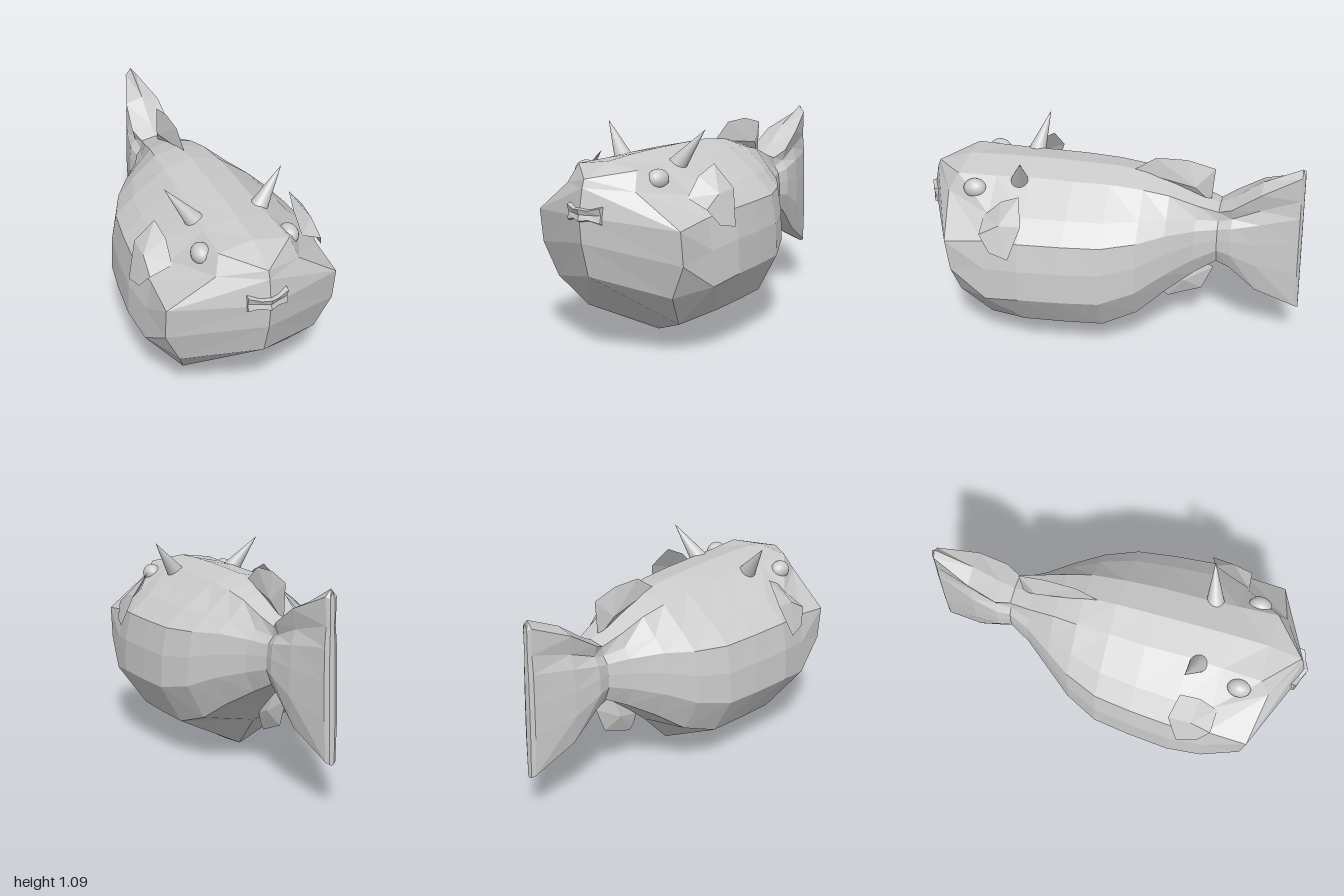
import * as THREE from 'three';

const mat = new THREE.MeshStandardMaterial({ color: 0xcccccc, flatShading: true, side: THREE.DoubleSide });
const smooth = new THREE.MeshStandardMaterial({ color: 0xcccccc });

function part(name, geometry, material = mat) {
  const mesh = new THREE.Mesh(geometry, material);
  mesh.name = name;
  return mesh;
}

// Skin between consecutive closed rings of [x, y, z] points, skipping collapsed
// triangles. Diagonals flip halfway round so mirrored rings give mirrored faces.
function loft(rings) {
  const pos = [], n = rings[0].length;
  const same = (p, q) => p.every((v, i) => Math.abs(v - q[i]) < 1e-6);
  const tri = (a, b, c) => {
    if (!same(a, b) && !same(b, c) && !same(a, c)) pos.push(...a, ...b, ...c);
  };
  for (let i = 0; i < rings.length - 1; i++) {
    for (let j = 0; j < n; j++) {
      const k = (j + 1) % n;
      const a = rings[i][j], b = rings[i][k], c = rings[i + 1][j], d = rings[i + 1][k];
      if (j < n / 2) {
        tri(a, b, d);
        tri(a, d, c);
      } else {
        tri(a, b, c);
        tri(b, d, c);
      }
    }
  }
  const geo = new THREE.BufferGeometry();
  geo.setAttribute('position', new THREE.Float32BufferAttribute(pos, 3));
  geo.computeVertexNormals();
  return geo;
}

// Complete a half ring (top centre, down the +x side, bottom centre) by mirroring.
const mirrorRing = half =>
  [...half, ...half.slice(1, -1).reverse().map(([x, y, z]) => [-x, y, z])];
const collapse = (ring, p) => ring.map(() => p);

// Half cross-section; lean carries the bottom further back than the top.
function section([z, top, keel, w, shoulder, chine, lean = 0]) {
  const p = (x, y) => [x, y, z - lean * (top - y) / (top - keel)];
  const y = t => chine + (top - chine) * t;
  return [
    p(0, top), p(shoulder, y(0.955)), p(w * 0.71, y(0.79)), p(w * 0.925, y(0.67)),
    p(w * 0.985, y(0.48)), p(w, y(0.26)), p(w * 0.76, chine), p(0, keel)];
}

// Station where body and tail meet
const tailRoot = [-0.56, 0.81, 0.5, 0.12, 0.08, 0.51];

// Body: nose ridge, face edge, then stations from cheek to tail root.
function bodyGeometry() {
  const face = [
    [0, 0.95, 0.77], [0.18, 0.925, 0.78], [0.21, 0.835, 0.83], [0.44, 0.67, 0.79],
    [0.44, 0.5, 0.77], [0.36, 0.33, 0.75], [0.29, 0.155, 0.61], [0, 0.025, 0.39]];
  const nose = [
    face[0], [0, 0.89, 0.945], [0, 0.85, 0.96], [0, 0.72, 0.985],
    [0, 0.59, 0.975], [0, 0.42, 0.93], [0, 0.42, 0.93], face[7]];
  // z, top, keel, half width, shoulder half width, chine height
  const halves = [
    [0.58, 0.962, 0.025, 0.475, 0.17, 0.16],
    [0.40, 0.967, 0.025, 0.5, 0.16, 0.2],
    [0.18, 0.967, 0, 0.48, 0.16, 0.2],
    [-0.01, 0.965, 0.03, 0.452, 0.15, 0.2],
    [-0.18, 0.945, 0.21, 0.375, 0.14, 0.26],
    [-0.31, 0.91, 0.325, 0.28, 0.12, 0.36],
    [-0.45, 0.85, 0.435, 0.175, 0.1, 0.45],
    tailRoot].map(section);
  halves[0][6] = face[6];
  halves[0][7] = face[7];
  return loft([nose, face, ...halves].map(mirrorRing));
}

// Tail: continues the body, spreading in height and thinning toward the rear edge.
function tailGeometry() {
  const rings = [
    tailRoot,
    [-0.63, 0.85, 0.475, 0.132, 0.11, 0.485],
    [-0.77, 0.955, 0.34, 0.105, 0.095, 0.35],
    [-0.96, 1.048, 0.228, 0.035, 0.03, 0.235, 0.025],
    [-0.975, 1.04, 0.22, 0.015, 0.012, 0.225, 0.025]
  ].map(s => mirrorRing(section(s)));
  rings.push(collapse(rings[0], [0, 0.63, -0.988]));
  return loft(rings);
}

// Leaf-like fin: an outline swollen on both sides about its centre.
function leafGeometry(outline, centre, bulge) {
  const side = s => outline.map(() => centre.map((v, i) => v + s * bulge[i]));
  return loft([side(1), outline, side(-1)]);
}

// Mouth: shallow lip profile swept across the nose.
function mouthGeometry() {
  const lip = [[0.763, 0.955], [0.756, 0.998], [0.728, 0.988], [0.7, 0.996], [0.682, 0.96]];
  const rings = [[-0.1, 0.008, 0.04], [-0.045, -0.006, 0.02], [0, 0, 0],
    [0.045, -0.006, 0.02], [0.1, 0.008, 0.04]].map(([x, lift, back]) =>
    lip.map(([y, z]) => [x, y + lift * Math.sign(y - 0.728), z - back]));
  return loft([collapse(lip, [-0.1, 0.72, 0.92]), ...rings, collapse(lip, [0.1, 0.72, 0.92])]);
}

export function createModel() {
  const fish = new THREE.Group();
  fish.name = 'fish';
  fish.add(part('body', bodyGeometry()), part('tail', tailGeometry()), part('mouth', mouthGeometry()));

  // Fins on the centre line, outlined as [z, y]
  const onCentre = pts => pts.map(([z, y]) => [0, y, z]);
  fish.add(part('dorsalFin', leafGeometry(
    onCentre([[-0.1, 0.945], [-0.22, 1.03], [-0.38, 1.035], [-0.525, 1], [-0.51, 0.8], [-0.3, 0.88]]),
    [0, 0.9, -0.43], [0.036, 0, 0])));
  fish.add(part('ventralFin', leafGeometry(
    onCentre([[-0.24, 0.27], [-0.27, 0.21], [-0.3, 0.19], [-0.48, 0.265], [-0.54, 0.41], [-0.43, 0.45]]),
    [0, 0.32, -0.39], [0.03, 0, 0])));

  // Paired fins, eyes and horns
  for (const [label, s] of [['left', 1], ['right', -1]]) {
    const outline = [
      [0.355, 0.925, 0.41], [0.45, 0.81, 0.38], [0.503, 0.64, 0.44], [0.485, 0.66, 0.54],
      [0.45, 0.74, 0.6], [0.34, 0.785, 0.605], [0.335, 0.875, 0.51]
    ].map(([x, y, z]) => [s * x, y, z]);
    fish.add(part(label + 'SideFin', leafGeometry(outline, [s * 0.43, 0.79, 0.49], [s * 0.015, 0.01, 0.005])));

    const eye = part(label + 'Eye', new THREE.SphereGeometry(1, 24, 16), smooth);
    eye.scale.set(0.048, 0.05, 0.06);
    eye.position.set(s * 0.225, 0.873, 0.68);
    fish.add(eye);

    const base = new THREE.Vector3(s * 0.16, 0.895, 0.46);
    const axis = new THREE.Vector3(s * 0.305, 1.085, 0.41).sub(base);
    const horn = part(label + 'Horn', new THREE.ConeGeometry(0.05, axis.length(), 24), smooth);
    horn.position.copy(base).addScaledVector(axis, 0.5);
    horn.quaternion.setFromUnitVectors(new THREE.Vector3(0, 1, 0), axis.normalize());
    fish.add(horn);
  }
  return fish;
}
